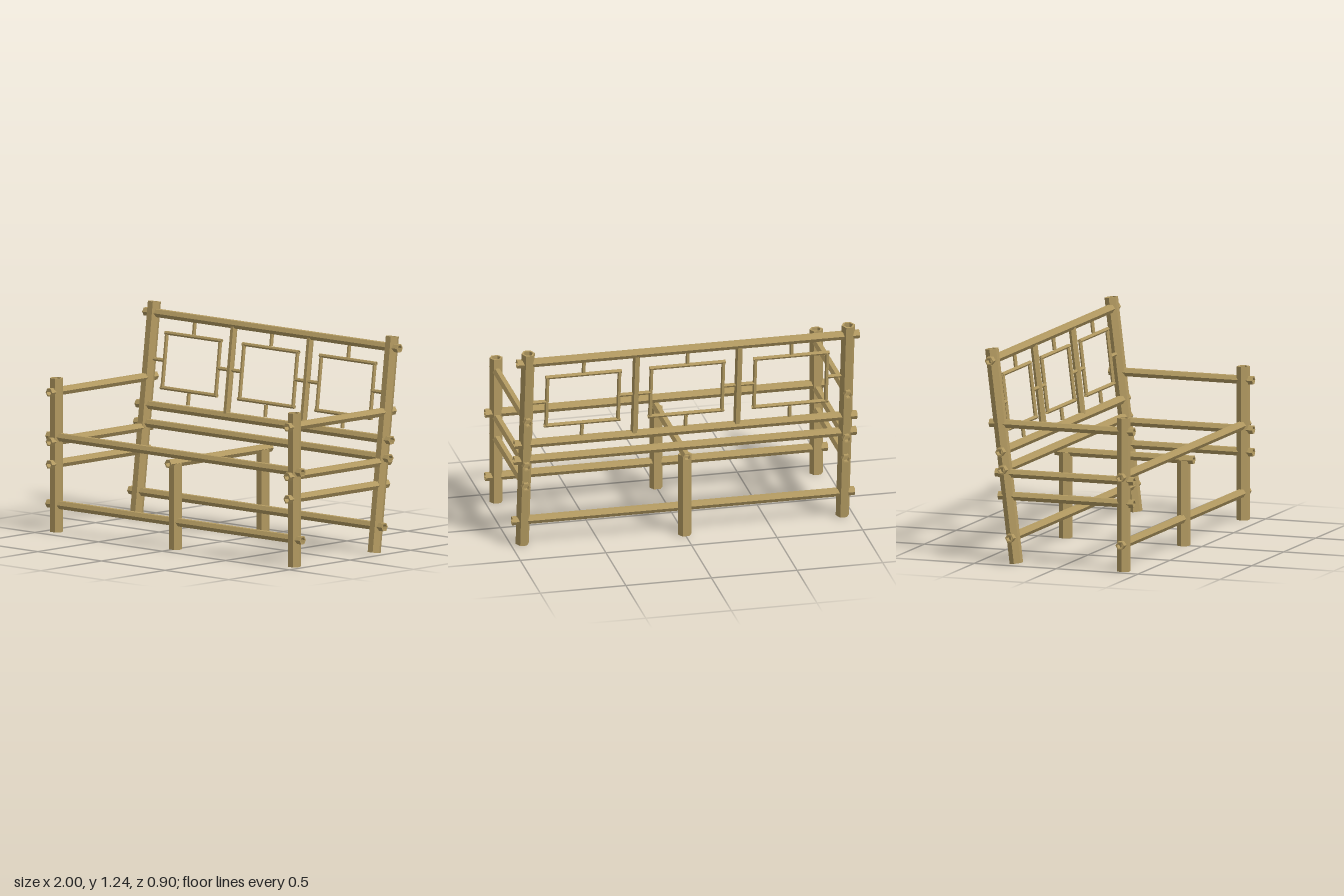
import * as THREE from 'three';

// Hollow six-sided cane between two points
function cane(name, from, to, radius, material) {
  const a = new THREE.Vector3(...from), b = new THREE.Vector3(...to);
  const along = b.clone().sub(a);
  const h = along.length() / 2, inner = radius * 0.7;
  along.normalize();
  const profile = [[inner, -h], [radius, -h], [radius, h], [inner, h], [inner, -h]]
    .map(p => new THREE.Vector2(...p));
  const geometry = new THREE.LatheGeometry(profile, 6).toNonIndexed();
  geometry.computeVertexNormals();
  // Corners point sideways: along z for x rails, along x for everything else
  const corner = Math.abs(along.x) > 0.5 ? new THREE.Vector3(0, 0, 1) : new THREE.Vector3(1, 0, 0);
  const side = along.clone().cross(corner);
  const mesh = new THREE.Mesh(geometry, material);
  mesh.name = name;
  mesh.quaternion.setFromRotationMatrix(new THREE.Matrix4().makeBasis(side, along, corner));
  mesh.position.copy(a).add(b).multiplyScalar(0.5);
  return mesh;
}

export function createModel() {
  const bench = new THREE.Group();
  bench.name = 'caneBench';
  const bamboo = new THREE.MeshStandardMaterial({ color: 0xb59c62, flatShading: true });
  bamboo.name = 'bamboo';

  const POST = 0.039, RAIL = 0.026, DIVIDER = 0.021, ROD = 0.0115;
  const FRONT = 0.389, SIDE = 0.935;
  const backZ = y => -0.267 - 0.122 * y; // lean of the backrest
  const add = (name, from, to, r, parent = bench) => parent.add(cane(name, from, to, r, bamboo));
  // Cane lying in the leaning back plane
  const addBack = (name, x0, y0, x1, y1, r, parent = bench) =>
    add(name, [x0, y0, backZ(y0)], [x1, y1, backZ(y1)], r, parent);

  // Posts and side rails, mirrored
  for (const [label, s] of [['left', 1], ['right', -1]]) {
    const x = s * SIDE;
    add(label + 'FrontPost', [x, 0, FRONT], [x, 0.885, FRONT], POST);
    addBack(label + 'BackPost', x, 0.007, x, 1.235, POST);
    add(label + 'ArmRail', [x, 0.807, 0.452], [x, 0.807, -0.428], RAIL);
    add(label + 'SeatSideRail', [x, 0.522, 0.452], [x, 0.522, -0.393], RAIL);
    add(label + 'LowerSideRail', [x, 0.392, 0.452], [x, 0.392, -0.374], RAIL);
    addBack(label + 'BackDivider', s * 0.3, 0.665, s * 0.3, 1.16, DIVIDER);
  }

  // Middle support
  add('middleSeatRail', [0, 0.497, 0.452], [0, 0.497, -0.393], RAIL);
  add('middleFrontLeg', [0, 0, FRONT], [0, 0.495, FRONT], POST);
  add('middleBackLeg', [0, 0, -0.331], [0, 0.495, -0.331], POST);

  // Long rails
  add('frontStretcher', [-1, 0.157, FRONT], [1, 0.157, FRONT], RAIL);
  add('frontSeatRail', [-1, 0.547, FRONT], [1, 0.547, FRONT], RAIL);
  for (const [name, y] of [['backStretcher', 0.157], ['backSeatRail', 0.547],
    ['lowerBackRail', 0.65], ['topBackRail', 1.172]]) addBack(name, -1, y, 1, y, RAIL);

  // Three square panels with short connecting rods
  const bottom = 0.757, top = 1.068, middle = 0.912, half = 0.21;
  for (const [cx, reachRight, reachLeft] of [[-0.607, 0.3, 0.295], [0, 0.29, 0.29], [0.607, 0.295, 0.3]]) {
    const panel = new THREE.Group();
    panel.name = 'backPanel';
    bench.add(panel);
    for (const y of [bottom, top]) addBack('panelRail', cx - 0.222, y, cx + 0.222, y, ROD, panel);
    for (const s of [-1, 1]) addBack('panelUpright', cx + s * half, bottom, cx + s * half, top, ROD, panel);
    addBack('upperRod', cx, 1.08, cx, 1.148, ROD, panel);
    addBack('lowerRod', cx, 0.678, cx, 0.745, ROD, panel);
    addBack('rightRod', cx - reachRight, middle, cx - half, middle, ROD, panel);
    addBack('leftRod', cx + half, middle, cx + reachLeft, middle, ROD, panel);
  }
  return bench;
}
